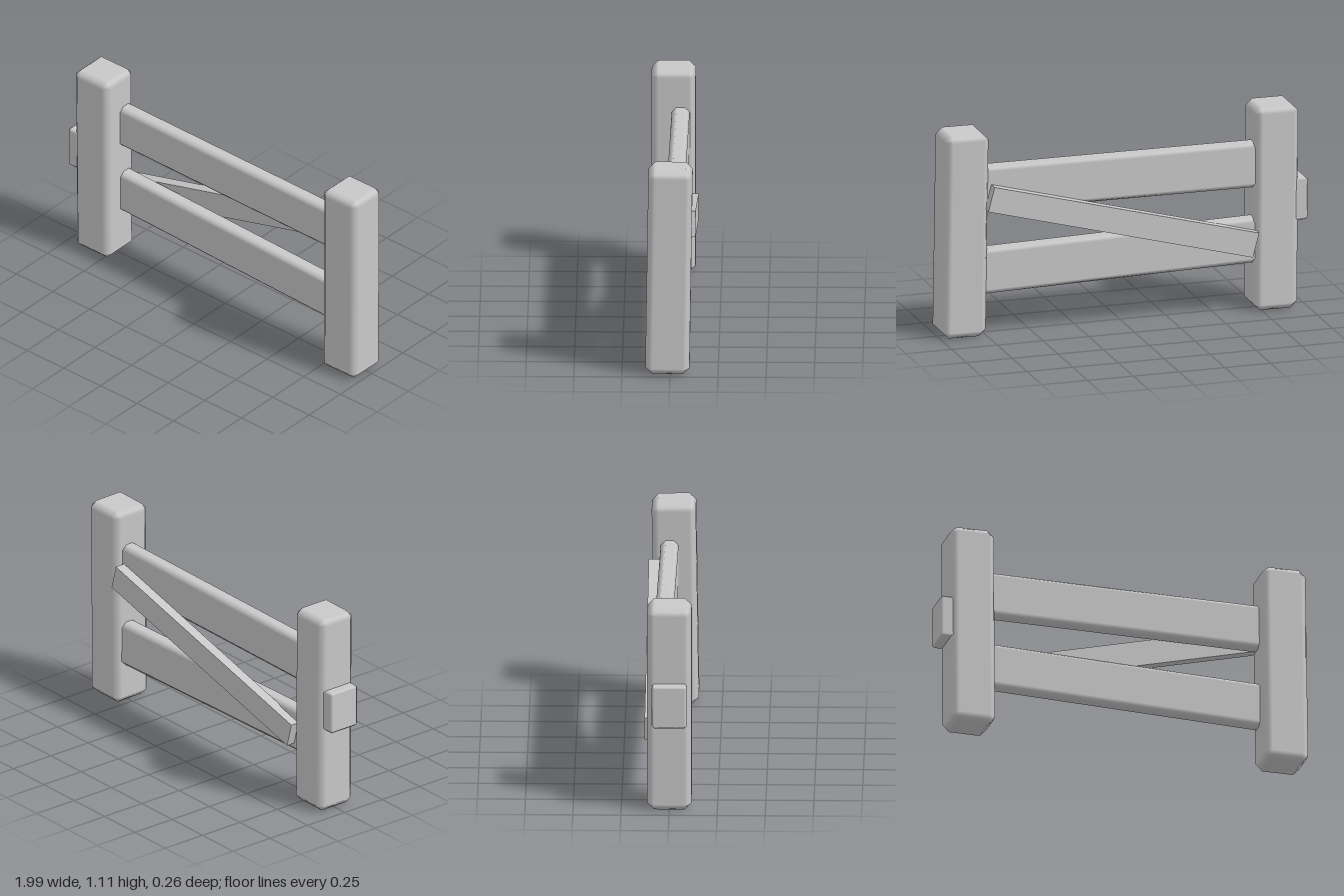
import * as THREE from 'three';

const wood = new THREE.MeshStandardMaterial({ color: 0xc8c8c8 });
wood.name = 'plain grey';

// Box with 45 degree chamfers of size c and softly shaded edges
function chamferBox(w, h, d, c) {
  const geo = new THREE.BoxGeometry(1, 1, 1, 3, 3, 3);
  const pos = geo.attributes.position, nor = geo.attributes.normal;
  const core = new THREE.Vector3(w / 2 - c, h / 2 - c, d / 2 - c);
  const p = new THREE.Vector3(), n = new THREE.Vector3();
  const outer = (v) => (Math.abs(v) > 0.4 ? Math.sign(v) : 0);
  for (let i = 0; i < pos.count; i++) {
    p.fromBufferAttribute(pos, i);
    n.set(outer(p.x), outer(p.y), outer(p.z));
    const reach = c / n.manhattanLength();
    pos.setXYZ(i,
      Math.sign(p.x) * core.x + n.x * reach,
      Math.sign(p.y) * core.y + n.y * reach,
      Math.sign(p.z) * core.z + n.z * reach);
    n.normalize();
    nor.setXYZ(i, n.x, n.y, n.z);
  }
  return geo;
}

export function createModel() {
  const fence = new THREE.Group();
  fence.name = 'fence';

  function add(name, geo, position, rotation = [0, 0, 0]) {
    const mesh = new THREE.Mesh(geo, wood);
    mesh.name = name;
    mesh.position.set(...position);
    mesh.rotation.set(...rotation);
    fence.add(mesh);
  }

  // Upright posts, each leaning very slightly
  const post = chamferBox(0.238, 1.105, 0.23, 0.036);
  add('rightPost', post, [-0.827, 0.556, 0], [0, 0, 0.006]);
  add('leftPost', post, [0.868, 0.556, 0.006], [-0.015, 0, 0.01]);

  // Horizontal rails, let into the posts
  const rail = chamferBox(1.56, 0.246, 0.094, 0.026);
  add('upperRail', rail, [0.02, 0.792, -0.03], [0, -0.01, 0]);
  add('lowerRail', rail, [0.02, 0.365, -0.03], [0, -0.01, -0.027]);

  // Diagonal brace across the back
  add('brace', new THREE.BoxGeometry(1.495, 0.135, 0.056), [0.02, 0.565, -0.103], [0, 0, 0.258]);

  // Small block on the outer side of the right post
  add('sideBlock', chamferBox(0.08, 0.23, 0.18, 0.012), [-0.96, 0.59, 0]);

  return fence;
}
